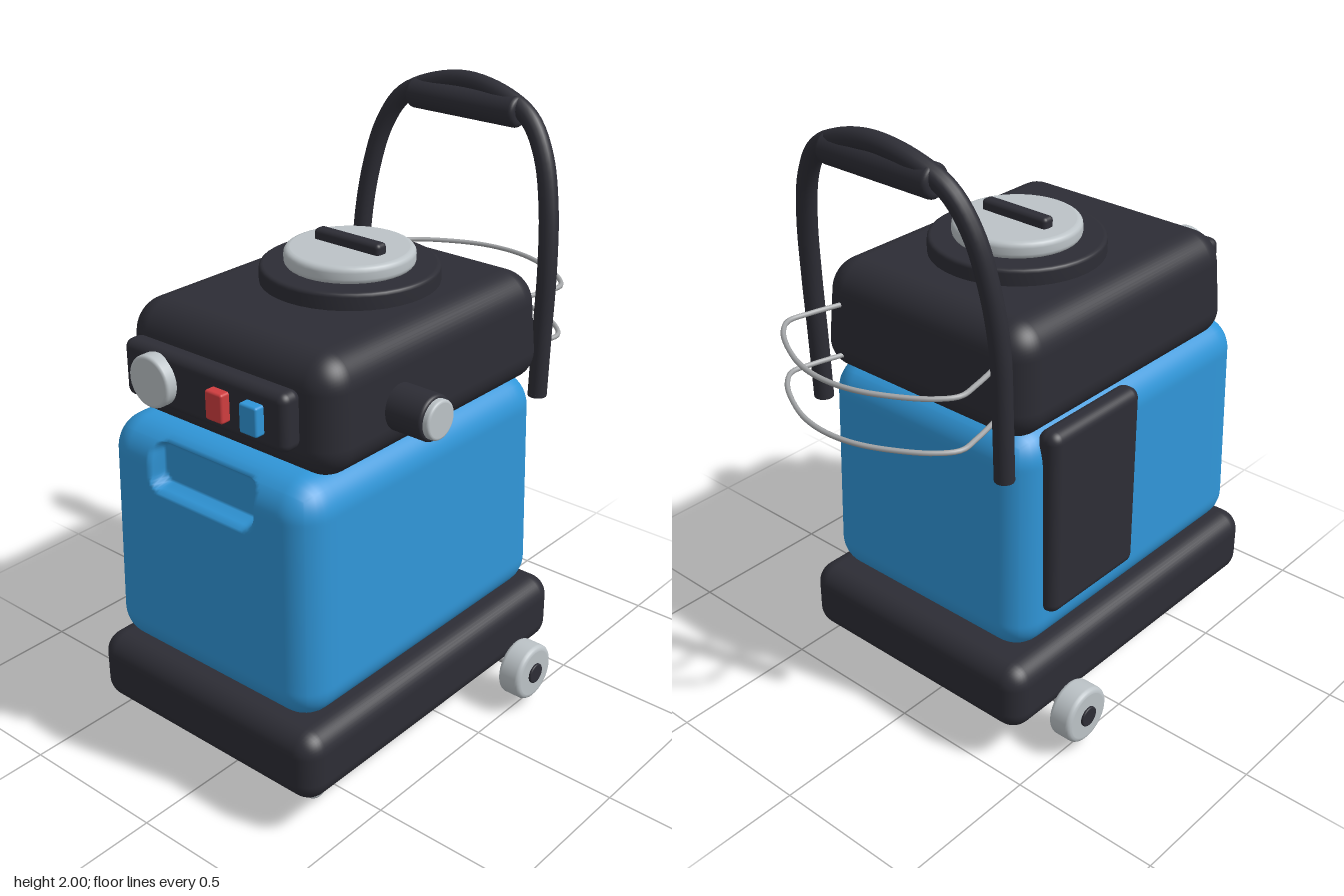
import * as THREE from 'three';
import { mergeVertices } from 'three/addons/utils/BufferGeometryUtils.js';
import { RoundedBoxGeometry } from 'three/addons/geometries/RoundedBoxGeometry.js';

const material = (name, color) => {
  const m = new THREE.MeshStandardMaterial({ color });
  m.name = name;
  return m;
};

export function createModel() {
  const dark = material('charcoal plastic', 0x2d2d35);
  const blue = material('blue plastic', 0x3096d8);
  const silver = material('light grey', 0xbcc3c7);
  const steel = material('steel', 0xa4a6a8);
  const red = material('red switch', 0xcf3d3f);

  const model = new THREE.Group();
  model.name = 'cleaningMachine';

  const add = (name, geometry, mat, x = 0, y = 0, z = 0, parent = model) => {
    const mesh = new THREE.Mesh(geometry, mat);
    mesh.name = name;
    mesh.position.set(x, y, z);
    parent.add(mesh);
    return mesh;
  };

  const box = (w, h, d, r, seg = 5) => new RoundedBoxGeometry(w, h, d, seg, r);

  // Round-edged disc centred on its own middle, along the chosen axis
  const disc = (r, h, bevel, axis = 'y') => {
    const pts = [[0, -h / 2], [r - bevel * 1.1, -h / 2]];
    for (const [side, from] of [[-1, -Math.PI / 2], [1, 0]]) {
      for (let i = 0; i <= 4; i++) {
        const a = from + (i / 4) * (Math.PI / 2);
        pts.push([r - bevel + Math.cos(a) * bevel, side * (h / 2 - bevel) + Math.sin(a) * bevel]);
      }
    }
    pts.push([r - bevel * 1.1, h / 2], [0, h / 2]);
    const g = new THREE.LatheGeometry(pts.map(p => new THREE.Vector2(...p)), 40);
    if (axis === 'x') g.rotateZ(-Math.PI / 2);
    if (axis === 'z') g.rotateX(Math.PI / 2);
    return g;
  };

  // Narrow a geometry slightly towards its top
  const taper = (g, h, amount) => {
    const p = g.attributes.position;
    for (let i = 0; i < p.count; i++) {
      const s = 1 - amount * (p.getY(i) / h + 0.5);
      p.setXYZ(i, p.getX(i) * s, p.getY(i), p.getZ(i) * s);
    }
    return g;
  };

  // Wheeled base
  add('base', box(0.91, 0.235, 1.235, 0.07), dark, 0, 0.248, 0.147);

  // Tank: a rounded, tapered box with a grip recess pressed into its front
  const tankGeometry = () => {
    const half = new THREE.Vector3(0.42, 0.385, 0.57), r = 0.11;
    let g = new THREE.BoxGeometry(half.x * 2, half.y * 2, half.z * 2, 84, 78, 40);
    g.deleteAttribute('uv');
    g.deleteAttribute('normal');
    g = mergeVertices(g);
    const p = g.attributes.position, v = new THREE.Vector3(), core = new THREE.Vector3();
    const inner = half.clone().subScalar(r), minus = inner.clone().negate();
    for (let i = 0; i < p.count; i++) {
      v.fromBufferAttribute(p, i);
      core.copy(v).clamp(minus, inner);
      v.sub(core).setLength(r).add(core);
      p.setXYZ(i, v.x, v.y, v.z);
    }
    taper(g, half.y * 2, 0.03);
    for (let i = 0; i < p.count; i++) {
      v.fromBufferAttribute(p, i);
      if (v.z < 0.42) continue;
      const dx = Math.abs(v.x) - 0.165, dy = Math.abs(v.y - 0.28) - 0.035;
      const edge = Math.hypot(Math.max(dx, 0), Math.max(dy, 0)) - 0.045;
      const press = THREE.MathUtils.smoothstep(-edge, 0, 0.018);
      p.setZ(i, THREE.MathUtils.lerp(v.z, Math.min(v.z, 0.505), press));
    }
    g.computeVertexNormals();
    return g;
  };
  add('tank', tankGeometry(), blue, 0, 0.75, 0.16);
  add('sidePanel', box(0.08, 0.635, 0.41, 0.035), dark, -0.415, 0.818, -0.095);

  // Motor head
  add('head', taper(box(0.84, 0.36, 1.045, 0.1, 7), 0.36, 0.05), dark, 0, 1.295, 0.108);

  // Filler lid
  add('lidRing', disc(0.275, 0.07, 0.012), dark, 0, 1.492, 0.055);
  add('lid', disc(0.2, 0.055, 0.018), silver, 0, 1.55, 0.055);
  add('lidGrip', box(0.255, 0.045, 0.045, 0.014), dark, 0, 1.588, 0.055);

  // Control panel
  add('controlPanel', box(0.635, 0.178, 0.075, 0.028), dark, 0, 1.306, 0.655);
  add('dial', disc(0.08, 0.05, 0.01, 'z'), silver, -0.175, 1.308, 0.704);
  add('redSwitch', box(0.066, 0.09, 0.04, 0.008), red, 0.08, 1.306, 0.704);
  add('blueSwitch', box(0.066, 0.09, 0.04, 0.008), blue, 0.21, 1.306, 0.704);

  // Hose port on the left side
  add('hosePort', disc(0.07, 0.16, 0.01, 'x'), dark, 0.455, 1.264, 0.315);
  add('hosePortCap', disc(0.06, 0.05, 0.008, 'x'), silver, 0.53, 1.264, 0.315);

  // Mirror a half path, given from the side to the middle, into a full one
  const mirrored = half => new THREE.CatmullRomCurve3([
    ...half, ...half.slice(0, -1).reverse().map(([x, y, z]) => [-x, y, z]),
  ].map(q => new THREE.Vector3(...q)));

  // Push handle
  const handlePath = mirrored([
    [0.375, 1.03, -0.43], [0.376, 1.25, -0.438], [0.375, 1.45, -0.448], [0.355, 1.64, -0.468],
    [0.315, 1.79, -0.487], [0.25, 1.89, -0.502], [0.15, 1.942, -0.512], [0, 1.969, -0.518],
  ]);
  add('pushHandle', new THREE.TubeGeometry(handlePath, 90, 0.031, 14), dark);
  for (const s of [-1, 1]) {
    add('handleEnd', new THREE.CylinderGeometry(0.031, 0.031, 0.01, 14), dark, s * 0.375, 1.032, -0.43);
  }
  add('handleGrip', disc(0.05, 0.42, 0.015, 'x'), dark, 0, 1.906, -0.505);

  // Cable hoops behind the head
  for (const y of [1.18, 1.35]) {
    const hoop = mirrored([
      [0.31, y, -0.4], [0.335, y, -0.5], [0.345, y, -0.575], [0.3, y, -0.635],
      [0.2, y, -0.7], [0.1, y, -0.741], [0, y, -0.754],
    ]);
    add('cableHoop', new THREE.TubeGeometry(hoop, 70, 0.008, 8), steel);
  }

  // Rear axle and wheels
  const axle = new THREE.CylinderGeometry(0.012, 0.012, 0.98, 12).rotateZ(Math.PI / 2);
  add('axle', axle, steel, 0, 0.13, -0.235);
  for (const s of [-1, 1]) {
    add('rearWheel', disc(0.095, 0.084, 0.016, 'x'), silver, s * 0.51, 0.133, -0.235);
    add('rearHub', disc(0.034, 0.11, 0.004, 'x'), dark, s * 0.505, 0.133, -0.235);
  }

  // Front casters
  for (const s of [-1, 1]) {
    const caster = new THREE.Group();
    caster.name = 'frontCaster';
    caster.position.set(s * 0.3, 0, 0.577);
    model.add(caster);
    add('casterMount', box(0.07, 0.075, 0.06, 0.01, 3), dark, 0, 0.118, 0, caster);
    add('casterWheel', disc(0.047, 0.05, 0.018, 'x'), silver, 0, 0.047, 0, caster);
    add('casterPin', disc(0.015, 0.058, 0.003, 'x'), dark, 0, 0.047, 0, caster);
  }

  return model;
}
